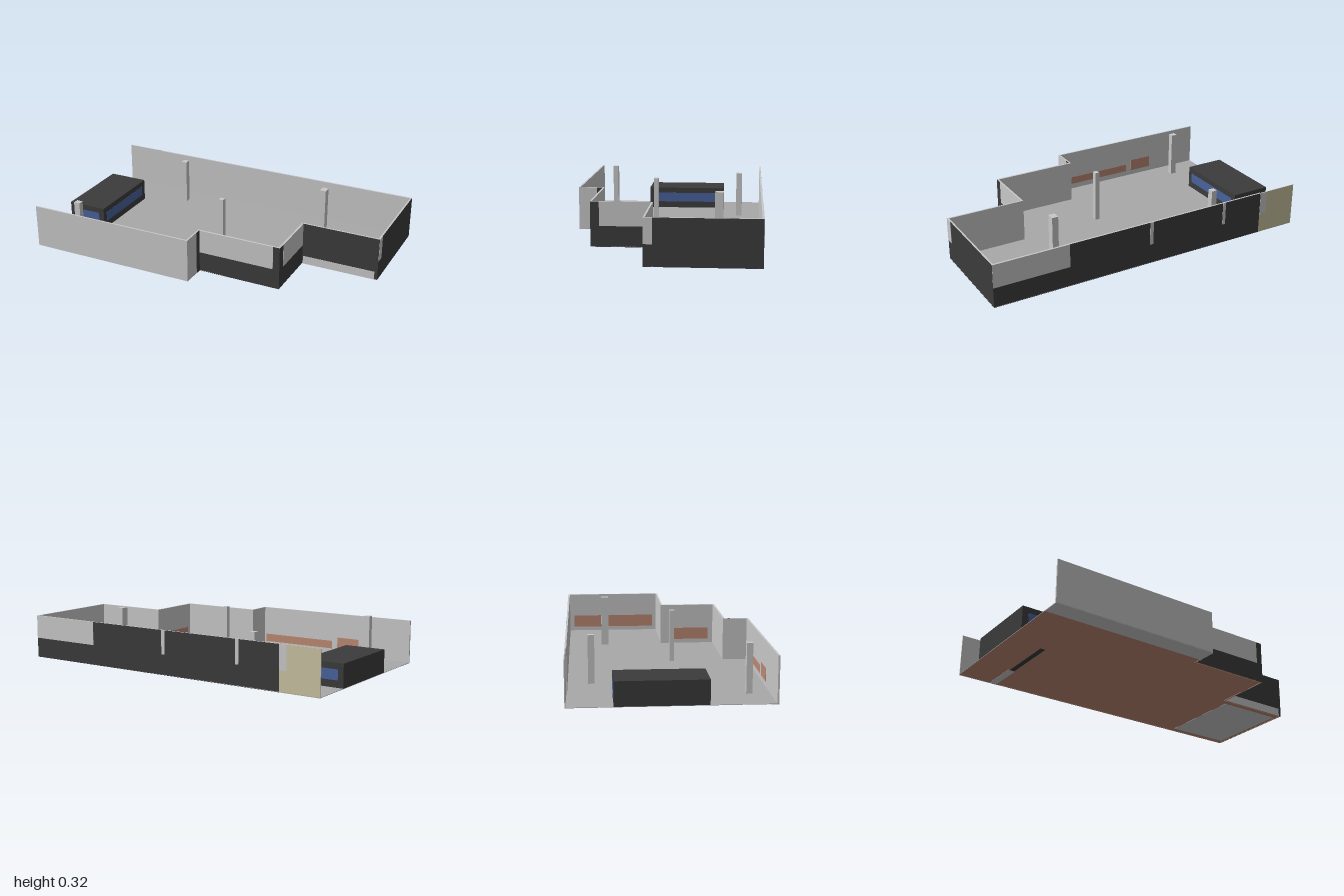
import * as THREE from 'three';

const material = (name, color, side = THREE.FrontSide) => {
  const m = new THREE.MeshStandardMaterial({ color, side });
  m.name = name;
  return m;
};

export function createModel() {
  const model = new THREE.Group();
  model.name = 'openRoofBuilding';

  const light = material('light grey', 0xc8c8c8, THREE.DoubleSide);
  const dark = material('charcoal', 0x3b3b3b);
  const floorGrey = material('floor grey', 0xa9a9a9);
  const brown = material('terracotta', 0xbb8873);
  const blue = material('window blue', 0x48629c);
  const tan = material('tan', 0xc8c2a0);

  const add = (name, geometry, mat) => {
    const mesh = new THREE.Mesh(geometry, mat);
    mesh.name = name;
    model.add(mesh);
    return mesh;
  };
  // Box given by its limits on each axis
  const box = (name, mat, x0, x1, y0, y1, z0, z1) =>
    add(name, new THREE.BoxGeometry(x1 - x0, y1 - y0, z1 - z0)
      .translate((x0 + x1) / 2, (y0 + y1) / 2, (z0 + z1) / 2), mat);
  // Flat four-cornered face, corners counter-clockwise
  const quad = (name, mat, corners) => {
    const g = new THREE.BufferGeometry();
    g.setAttribute('position', new THREE.Float32BufferAttribute(corners.flat(), 3));
    g.setIndex([0, 1, 2, 0, 2, 3]);
    g.computeVertexNormals();
    return add(name, g, mat);
  };

  const H = 0.26, T = 0.01, P = 0.0015;
  const X = 0.9985, ZB = -0.558, ZF = 0.557;

  // Stepped floor plan, open on the -x side
  const plan = [
    [-X, ZF], [0.032, ZF], [0.032, 0.41], [0.535, 0.41],
    [0.535, 0.065], [X, 0.065], [X, ZB], [-0.75, ZB],
  ];

  // Floor slab with its underside
  const shape = new THREE.Shape([...plan, [-X, ZB]].map(([x, z]) => new THREE.Vector2(x, z)));
  add('floor', new THREE.ExtrudeGeometry(shape, { depth: 0.0025, bevelEnabled: false })
    .rotateX(Math.PI / 2).translate(0, 0.004, 0), floorGrey);
  add('floorUnderside', new THREE.ShapeGeometry(shape).rotateX(Math.PI / 2).translate(0, 0.0012, 0), brown);
  box('undersideEastPatch', light, 0.565, 0.97, 0, 0.001, -0.515, 0.02);
  box('undersideFrontStrip', light, -X, 0.032, 0, 0.001, 0.445, ZF);
  box('undersideBackStrip', light, -0.8, -0.755, 0, 0.001, ZB, -0.32);
  box('undersideSlot', dark, -0.79, -0.76, 0, 0.001, -0.32, 0.04);

  // Mitred walls following the plan
  const normals = plan.slice(1).map(([x, z], i) =>
    [Math.sign(z - plan[i][1]), -Math.sign(x - plan[i][0])]);
  const inner = plan.map(([x, z], i) => {
    const a = normals[i - 1] ?? [0, 0], b = normals[i] ?? [0, 0];
    return [x + T * (a[0] + b[0]), z + T * (a[1] + b[1])];
  });
  const at = ([x, z], y) => [x, y, z];
  normals.forEach((_, i) => {
    const a = plan[i], b = plan[i + 1], c = inner[i], d = inner[i + 1];
    quad('wallOutside', i < 2 ? light : dark, [at(a, 0), at(b, 0), at(b, H), at(a, H)]);
    quad('wallInside', light, [at(d, 0), at(c, 0), at(c, H), at(d, H)]);
    quad('wallTop', light, [at(a, H), at(b, H), at(d, H), at(c, H)]);
  });
  for (const i of [0, plan.length - 1]) {
    quad('wallEnd', light, [at(plan[i], 0), at(inner[i], 0), at(inner[i], H), at(plan[i], H)]);
  }

  // Thin tan end of the back wall
  box('tanWallPanel', tan, -X, -0.75, 0, H, ZB, ZB + 0.002);
  box('tanWallLining', light, -X, -0.75, 0, H, ZB + 0.002, ZB + 0.005);

  // Painted areas on the outside
  box('stepWallDarkBand', dark, 0.032, 0.032 + P, 0, H, 0.41, 0.445);
  box('middleWallPatch', light, 0.035, 0.495, 0.12, H, 0.41, 0.41 + P);
  box('innerSideWallPatch', light, 0.535, 0.535 + P, 0.12, H, 0.067, 0.36);
  box('rightFrontWallBand', light, 0.54, 0.98, 0, 0.05, 0.065, 0.065 + P);
  box('endWallPatch', light, X, X + P, 0.12, H, 0.015, 0.065);
  for (const [x0, x1] of [[0.54, X], [0.005, 0.028], [-0.495, -0.475], [-0.795, -0.75]]) {
    box('backWallPatch', light, x0, x1, 0.12, H, ZB - P, ZB);
  }

  // Terracotta panels on the inside
  box('longInsidePanel', brown, -0.475, 0.01, 0.037, 0.085, ZF - T - P, ZF - T);
  box('shortInsidePanel', brown, -0.66, -0.513, 0.035, 0.11, ZF - T - P, ZF - T);
  box('sideInsidePanel', brown, 0.525 - P, 0.525, 0.03, 0.105, 0.115, 0.37);
  box('endInsidePanel', brown, X - T - P, X - T, 0.03, 0.11, -0.52, 0.03);

  // Dark room with window bands
  box('darkRoom', dark, -X, -0.755, 0.004, 0.14, -0.305, 0.197);
  box('roomSideWindow', blue, -0.755, -0.755 + P, 0.045, 0.105, -0.27, 0.165);
  box('roomFrontWindow', blue, -0.96, -0.79, 0.045, 0.105, 0.197, 0.197 + P);
  box('roomBackWindow', blue, -0.965, -0.79, 0.045, 0.105, -0.305 - P, -0.305);

  // Pillars: x, z, width, depth, top
  for (const [x, z, w, d, top] of [
    [-0.775, 0.433, 0.038, 0.034, 0.285], [-0.5, -0.415, 0.035, 0.037, 0.282],
    [0.017, 0.083, 0.028, 0.03, 0.32], [0.515, -0.315, 0.038, 0.047, 0.32],
  ]) box('pillar', light, x - w / 2, x + w / 2, 0.004, top, z - d / 2, z + d / 2);

  return model;
}
